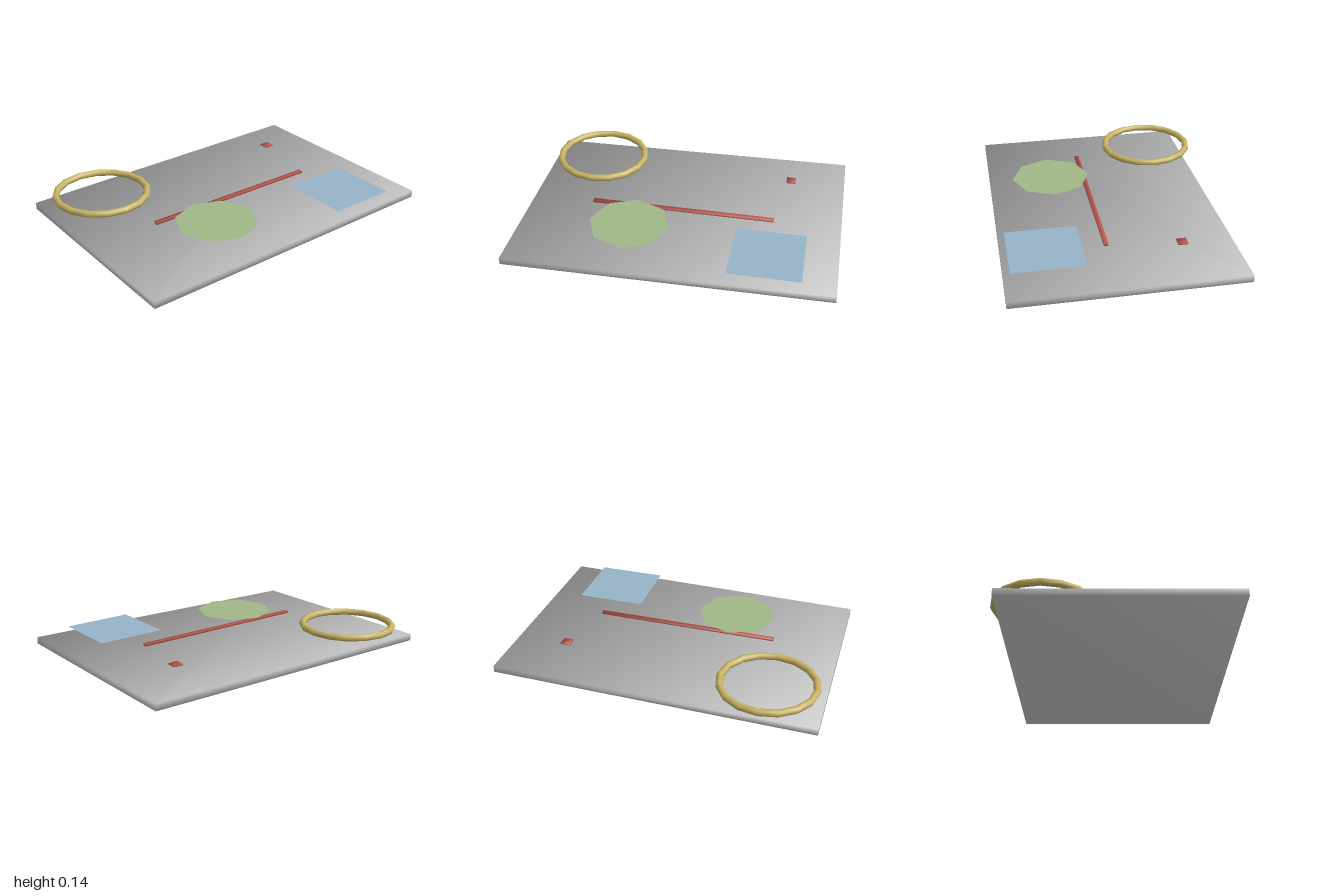
import * as THREE from 'three';

const mat = (name, color, side = THREE.FrontSide) => {
  const m = new THREE.MeshStandardMaterial({ color, side });
  m.name = name;
  return m;
};

// Box whose normals are averaged at each corner, so its shading runs smoothly over the edges
function softBox(w, h, d) {
  const g = new THREE.BoxGeometry(w, h, d);
  const p = g.attributes.position, n = g.attributes.normal;
  const v = new THREE.Vector3();
  for (let i = 0; i < p.count; i++) {
    v.set(Math.sign(p.getX(i)), Math.sign(p.getY(i)), Math.sign(p.getZ(i))).normalize();
    n.setXYZ(i, v.x, v.y, v.z);
  }
  return g;
}

export function createModel() {
  const model = new THREE.Group();
  const grey = mat('slab grey', 0xc0c0c0);
  const gold = mat('ring gold', 0xc8b464);
  const red = mat('marker red', 0xc05a50);
  const green = mat('patch green', 0xa0b888, THREE.DoubleSide);
  const blue = mat('patch blue', 0x98b4c8, THREE.DoubleSide);

  const add = (name, geometry, material, x, y, z) => {
    const mesh = new THREE.Mesh(geometry, material);
    mesh.name = name;
    mesh.position.set(x, y, z);
    model.add(mesh);
    return mesh;
  };

  // Slightly tilted ground slab
  add('groundSlab', softBox(2, 0.043, 1.38), grey, 0, 0.035, 0.028).rotation.z = 0.0135;

  // Sixteen-sided ring floating over the back corner
  add('ring', new THREE.TorusGeometry(0.29, 0.022, 8, 16).rotateX(Math.PI / 2), gold, -0.657, 0.115, -0.41);

  // Long bar and small square marker
  add('bar', softBox(1.165, 0.014, 0.028), red, -0.002, 0.096, 0.1);
  add('squareMarker', softBox(0.06, 0.008, 0.06), red, 0.65, 0.114, -0.337);

  // Flat patches without thickness
  add('octagonPatch', new THREE.CircleGeometry(0.252, 8).rotateX(-Math.PI / 2), green, -0.294, 0.112, 0.318);
  add('squarePatch', new THREE.PlaneGeometry(0.434, 0.434).rotateX(-Math.PI / 2), blue, 0.58, 0.112, 0.462);

  return model;
}
